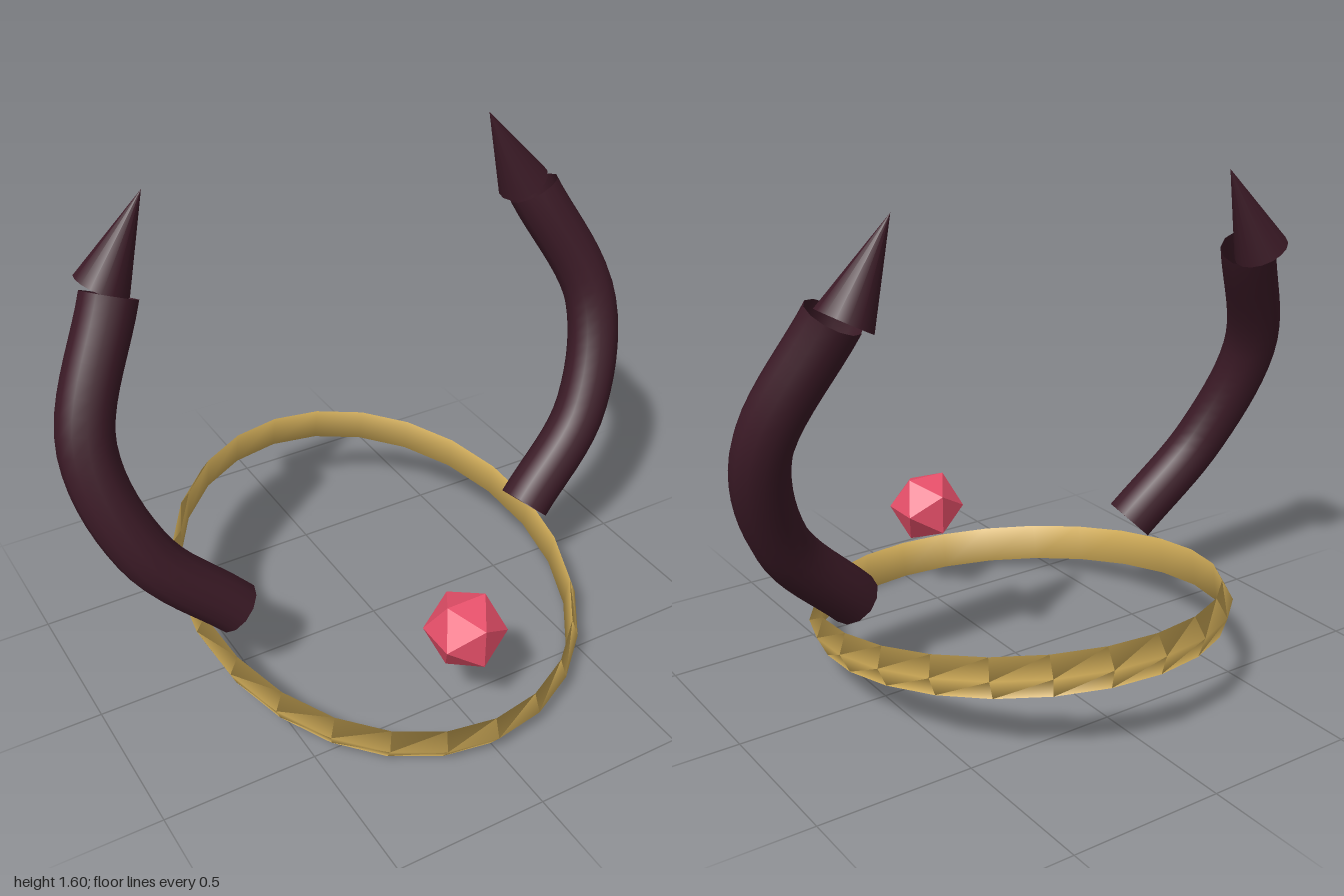
import * as THREE from 'three';

export function createModel() {
  const group = new THREE.Group();
  const gold = new THREE.MeshStandardMaterial({ color: 0xd4af5a });
  const hornMat = new THREE.MeshStandardMaterial({ color: 0x3b1a26, side: THREE.DoubleSide });
  const gemMat = new THREE.MeshStandardMaterial({ color: 0xe8506a, flatShading: true });

  const add = (parent, name, geometry, material, x = 0, y = 0, z = 0) => {
    const mesh = new THREE.Mesh(geometry, material);
    mesh.name = name;
    mesh.position.set(x, y, z);
    parent.add(mesh);
    return mesh;
  };

  // Oval circlet: a slim ridged ring, stretched into a band and tilted up at the back
  const ring = new THREE.TorusGeometry(0.637, 0.018, 3, 24);
  ring.scale(1, 1.19, 4.05);
  ring.rotateX(Math.PI / 2 + 0.177);
  add(group, 'circlet', ring, gold, 0, 0.2, 0);

  // Floating gem at the brow
  add(group, 'gem', new THREE.IcosahedronGeometry(0.13), gemMat, 0, 0.348, 0.56);

  // Mirrored pair of horns, each an open curved tube with a pointed tip
  for (const s of [1, -1]) {
    const horn = new THREE.Group();
    horn.name = s > 0 ? 'leftHorn' : 'rightHorn';
    const path = new THREE.CatmullRomCurve3([
      [0.55, 0.325, 0.09], [0.81, 0.6, 0.03], [0.91, 0.95, -0.09], [0.745, 1.337, -0.23],
    ].map(([x, y, z]) => new THREE.Vector3(s * x, y, z)));
    add(horn, 'hornShaft', new THREE.TubeGeometry(path, 24, 0.088, 12), hornMat);
    const tip = add(horn, 'hornTip', new THREE.ConeGeometry(0.088, 0.31, 16), hornMat, s * 0.67, 1.474, -0.29);
    tip.rotation.z = s * 0.5;
    group.add(horn);
  }
  return group;
}
